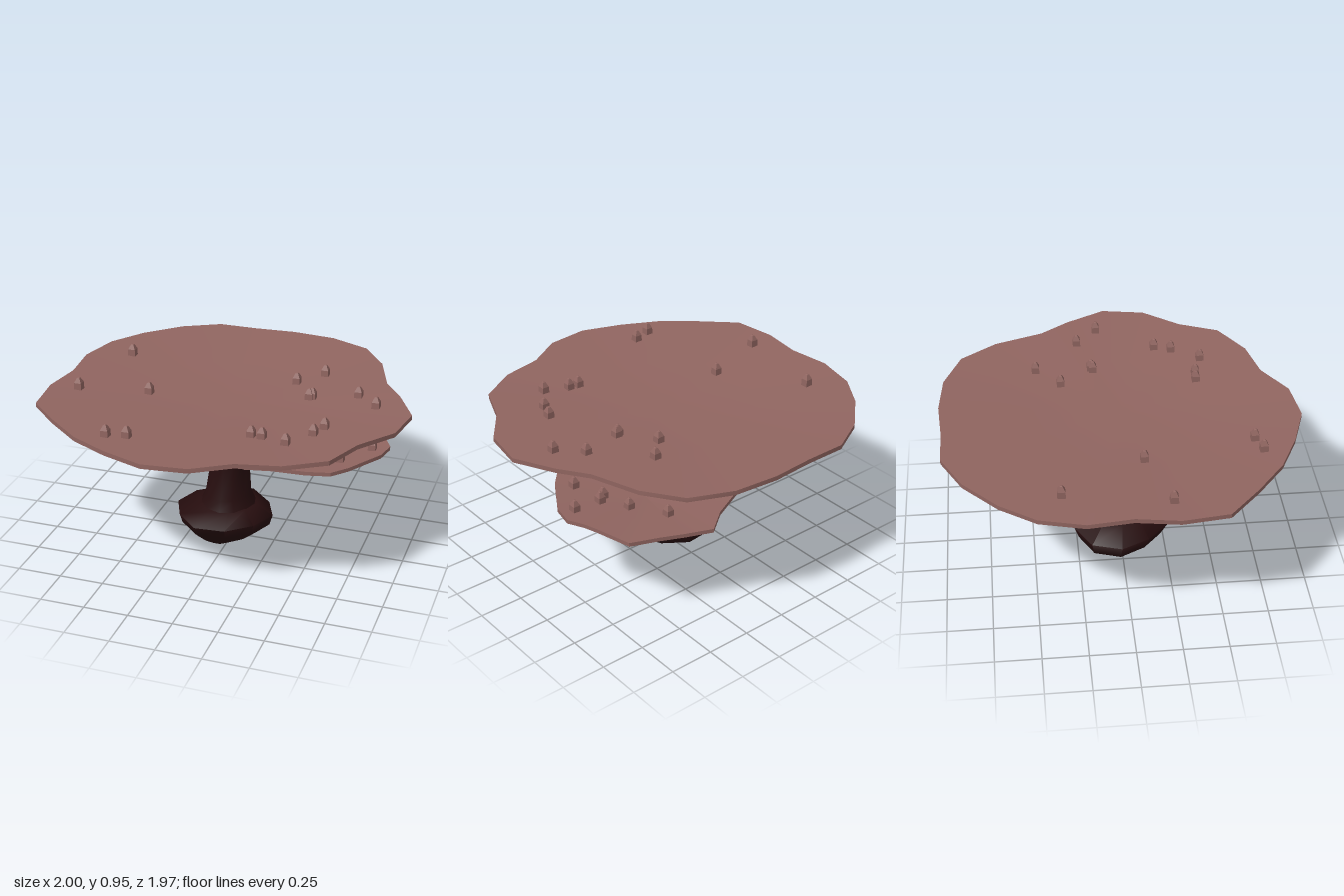
import * as THREE from 'three';
import { toCreasedNormals } from 'three/addons/utils/BufferGeometryUtils.js';

// Skin a list of closed rings (bottom to top, same point count)
function loft(rings, crease) {
  const n = rings[0].length, pos = [], index = [];
  rings.forEach(r => r.forEach(p => pos.push(...p)));
  for (let i = 0; i < rings.length - 1; i++) {
    for (let j = 0; j < n; j++) {
      const k = (j + 1) % n;
      const a = i * n + j, b = i * n + k, c = a + n, d = b + n;
      index.push(a, c, b, b, c, d);
    }
  }
  const g = new THREE.BufferGeometry();
  g.setAttribute('position', new THREE.Float32BufferAttribute(pos, 3));
  g.setIndex(index);
  return toCreasedNormals(g, crease);
}

// Outline shrunk toward a centre, at height y
const shrink = (outline, [cx, cz], s, y) =>
  outline.map(([x, z]) => [cx + (x - cx) * s, y, cz + (z - cz) * s]);

// Uneven oval ring: [y, xMin, xMax, zMin, zMax]
function oval([y, x0, x1, z0, z1], sides, wobble) {
  return Array.from({ length: sides }, (_, j) => {
    const a = j / sides * Math.PI * 2;
    const w = 1 + wobble * Math.sin(j * 2.4 + 1);
    return [(x0 + x1) / 2 + Math.cos(a) * (x1 - x0) / 2 * w, y + wobble * 0.15 * Math.sin(j * 1.9),
      (z0 + z1) / 2 + Math.sin(a) * (z1 - z0) / 2 * w];
  });
}

const capOutline = [
  [0.07, -0.985], [0.32, -0.96], [0.55, -0.86], [0.69, -0.66], [0.78, -0.39], [0.89, -0.23], [1, -0.01],
  [0.96, 0.23], [0.81, 0.43], [0.72, 0.65], [0.51, 0.78], [0.28, 0.83], [0.08, 0.955], [-0.16, 0.98],
  [-0.39, 0.9], [-0.6, 0.795], [-0.79, 0.64], [-0.97, 0.47], [-1, 0.22], [-0.965, -0.01], [-0.99, -0.25],
  [-0.93, -0.49], [-0.8, -0.68], [-0.61, -0.86], [-0.4, -0.97], [-0.17, -0.97]];

const shelfOutline = [
  [0.725, -0.62], [0.775, -0.42], [0.8, -0.34], [0.845, -0.25], [0.82, -0.13], [0.77, -0.05], [0.69, 0.08],
  [0.61, 0.17], [0.48, 0.2], [0.29, 0.21], [0.14, 0.24], [0, 0.18], [-0.11, 0.08], [-0.19, -0.05],
  [-0.22, -0.2], [-0.21, -0.36], [-0.17, -0.47], [-0.05, -0.58], [0.18, -0.69], [0.31, -0.79],
  [0.46, -0.73], [0.57, -0.68]];

// Nub positions: [x, z]
const capNubs = [
  [-0.74, -0.36], [-0.835, 0.2], [-0.46, 0.09], [-0.455, 0.72], [-0.35, 0.69], [0.25, 0.455], [0.31, 0.46],
  [0.45, 0.505], [0.555, 0.35], [0.59, 0.255], [0.79, -0.07], [0.665, -0.19], [0.42, -0.125],
  [0.405, -0.115], [0.28, -0.305], [0.41, -0.44]];
const shelfNubs = [
  [0.14, -0.445], [0.2, -0.48], [0.39, -0.52], [0.32, 0.165], [0.5, -0.33], [0.55, -0.165],
  [0.59, -0.195], [0.62, 0], [0.755, -0.195]];

export function createModel() {
  const root = new THREE.Group();
  root.name = 'shelfMushroom';
  const skin = new THREE.MeshStandardMaterial({ color: 0x906560 });
  skin.name = 'dusty pink';
  const flesh = new THREE.MeshStandardMaterial({ color: 0x260d0e });
  flesh.name = 'dark maroon';

  function add(name, geometry, material, parent = root) {
    const m = new THREE.Mesh(geometry, material);
    m.name = name;
    parent.add(m);
    return m;
  }

  // Four-sided blunt nub
  const nubShape = [[0.031, -0.01], [0.029, 0.035], [0.011, 0.062], [0, 0.066]].map(p => new THREE.Vector2(...p));
  const nubGeo = toCreasedNormals(new THREE.LatheGeometry(nubShape, 4).rotateY(Math.PI / 4), 0.3);

  // A plate: dished pink top with rim, dark sloping underside, nubs resting on the dish
  function plate(name, outline, centre, radius, under, top, dip, nubs) {
    const g = new THREE.Group();
    g.name = name;
    root.add(g);
    const rimY = under[under.length - 1][1];
    add(name + 'Top', loft([
      shrink(outline, centre, 1, rimY), shrink(outline, centre, 1, top),
      shrink(outline, centre, 0.5, top - dip * 0.5), shrink(outline, centre, 0.001, top - dip)], 0.6), skin, g);
    add(name + 'Underside', loft(under.map(([s, y]) => shrink(outline, centre, s, y)), 0.6), flesh, g);
    nubs.forEach(([x, z]) => {
      const r = Math.min(1, Math.hypot(x - centre[0], z - centre[1]) / radius);
      add(name + 'Nub', nubGeo, skin, g).position.set(x, top - dip * (1 - r), z);
    });
  }

  plate('cap', capOutline, [0, 0], 0.96,
    [[0.001, 0.785], [0.28, 0.79], [0.75, 0.833], [1, 0.871]], 0.896, 0.055, capNubs);
  plate('lowerShelf', shelfOutline, [0.35, -0.27], 0.5,
    [[0.001, 0.478], [0.25, 0.484], [0.55, 0.505], [1, 0.556]], 0.578, 0.04, shelfNubs);

  // Stalk, flared where it meets the cap
  add('stalk', loft([
    [0.16, -0.22, 0.15, -0.18, 0.18], [0.22, -0.185, 0.13, -0.16, 0.16], [0.28, -0.16, 0.105, -0.14, 0.14],
    [0.5, -0.125, 0.09, -0.12, 0.115], [0.65, -0.13, 0.13, -0.12, 0.12], [0.71, -0.155, 0.18, -0.15, 0.15],
    [0.8, -0.2, 0.25, -0.2, 0.2]].map(r => oval(r, 12, 0)), 1.2), flesh);

  // Lumpy foot
  add('foot', loft([
    [0.005, -0.041, -0.039, 0.069, 0.071], [0.012, -0.1, 0.01, -0.02, 0.16], [0.035, -0.22, 0.13, -0.16, 0.18],
    [0.09, -0.325, 0.205, -0.265, 0.225], [0.155, -0.335, 0.225, -0.29, 0.265],
    [0.22, -0.2, 0.14, -0.17, 0.17], [0.23, -0.031, -0.029, -0.001, 0.001],
  ].map((r, i) => oval(r, 10, i > 1 && i < 6 ? 0.04 : 0)), 1.4), flesh);

  return root;
}
